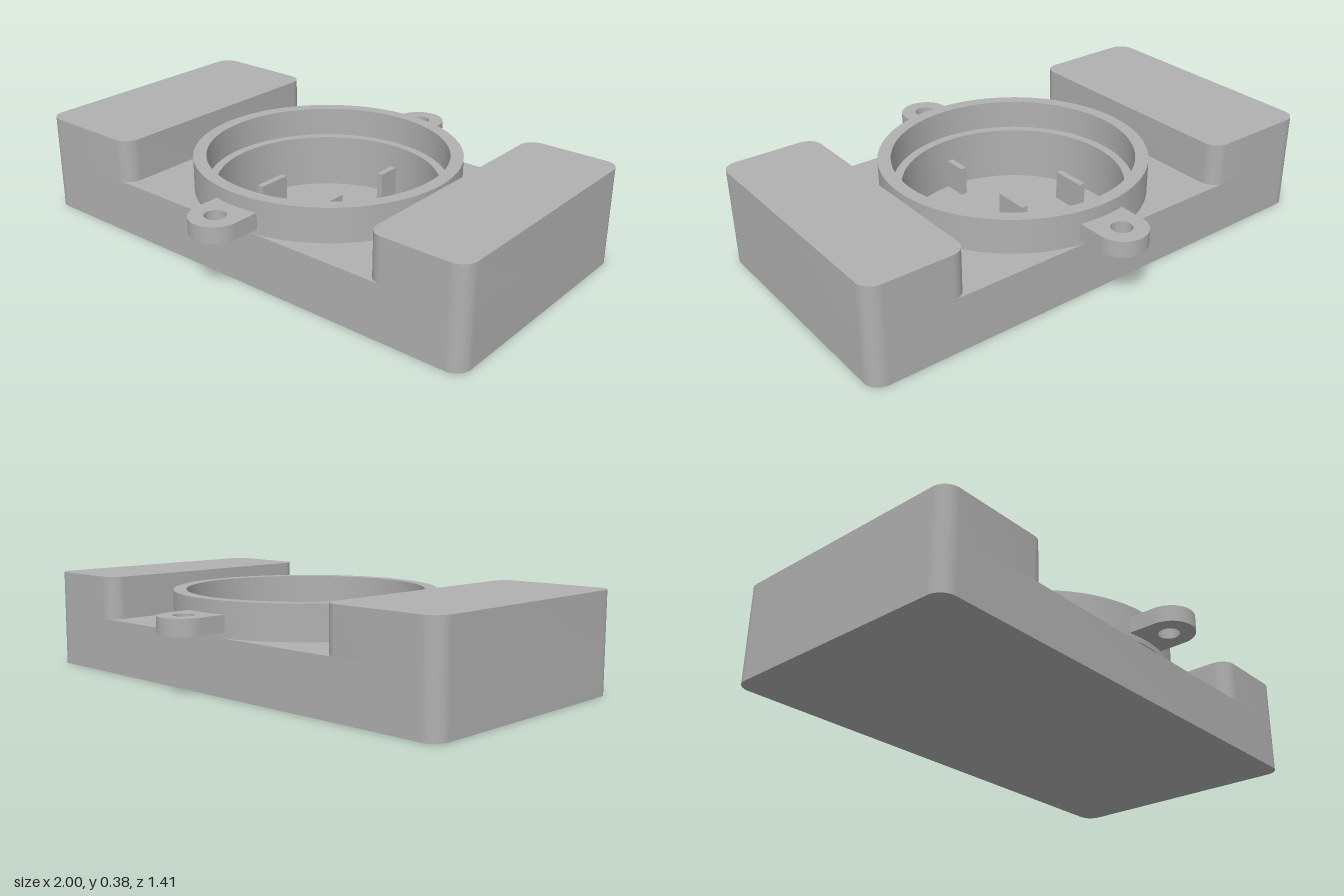
import * as THREE from 'three';
import { toCreasedNormals } from 'three/addons/utils/BufferGeometryUtils.js';

const CX = 0.045; // socket axis
const HALF_DEPTH = 0.51;
const FLOOR = 0.02, DECK = 0.215, LEDGE = 0.235, RIM = 0.35;

const circle = (x, y, r, Type = THREE.Shape) => new Type().absarc(x, y, r, 0, Math.PI * 2, false);

function roundedRect(x0, x1, y0, y1, r) {
  const s = new THREE.Shape();
  s.moveTo(x0 + r, y0);
  s.lineTo(x1 - r, y0);
  s.absarc(x1 - r, y0 + r, r, -Math.PI / 2, 0, false);
  s.lineTo(x1, y1 - r);
  s.absarc(x1 - r, y1 - r, r, 0, Math.PI / 2, false);
  s.lineTo(x0 + r, y1);
  s.absarc(x0 + r, y1 - r, r, Math.PI / 2, Math.PI, false);
  s.lineTo(x0, y0 + r);
  s.absarc(x0 + r, y0 + r, r, Math.PI, Math.PI * 1.5, false);
  return s;
}

export function createModel() {
  const group = new THREE.Group();
  const grey = new THREE.MeshStandardMaterial({ color: 0xb0b0b0 });
  grey.name = 'grey plastic';

  const add = (name, geometry) => {
    const mesh = new THREE.Mesh(geometry, grey);
    mesh.name = name;
    group.add(mesh);
    return mesh;
  };
  // Upright extrusion of a plan outline between two heights
  const slab = (name, shape, y0, y1, curveSegments = 12) => {
    const g = new THREE.ExtrudeGeometry(shape, { depth: y1 - y0, bevelEnabled: false, curveSegments });
    g.rotateX(-Math.PI / 2).translate(0, y0, 0);
    return add(name, toCreasedNormals(g, 0.5));
  };
  const plan = (x0, x1) => roundedRect(x0, x1, -HALF_DEPTH, HALF_DEPTH, 0.06);

  // Base tray with a round well
  slab('baseFloor', plan(-1, 1), 0, FLOOR);
  const body = plan(-1, 1);
  body.holes.push(circle(CX, 0, 0.43, THREE.Path));
  slab('baseBody', body, FLOOR, DECK, 48);

  // Raised end blocks
  slab('rightBlock', plan(-1, -0.53), DECK, 0.385);
  slab('leftBlock', plan(0.62, 1), DECK, 0.385);

  // Collar with an inner ledge
  const ring = (name, inner, y0, y1) => {
    const s = circle(CX, 0, 0.515);
    s.holes.push(circle(CX, 0, inner, THREE.Path));
    slab(name, s, y0, y1, 64);
  };
  ring('collarLedge', 0.43, DECK, LEDGE);
  ring('collarWall', 0.465, LEDGE, RIM);

  // Screw ears at front and back
  for (const [name, turn] of [['frontEar', Math.PI], ['backEar', 0]]) {
    const r = 0.097, end = 0.61;
    const s = new THREE.Shape();
    s.moveTo(-r, 0.48);
    s.lineTo(r, 0.48);
    s.lineTo(r, end);
    s.absarc(0, end, r, 0, Math.PI, false);
    s.lineTo(-r, 0.48);
    s.holes.push(circle(0, end, 0.04, THREE.Path));
    const ear = slab(name, s, 0.237, 0.3, 24);
    ear.position.x = CX;
    ear.rotation.y = turn;
  }

  // Upright ribs in the well
  const ribs = [
    ['rightRib', -0.25, 0, 0.145], ['centreRib', CX, 0, 0.145], ['leftRib', 0.34, 0, 0.145],
    ['frontRib', CX, 0.385, 0.1], ['backRib', CX, -0.385, 0.1],
  ];
  for (const [name, x, z, length] of ribs) {
    add(name, new THREE.BoxGeometry(0.026, 0.12, length)).position.set(x, FLOOR + 0.06, z);
  }

  return group;
}
